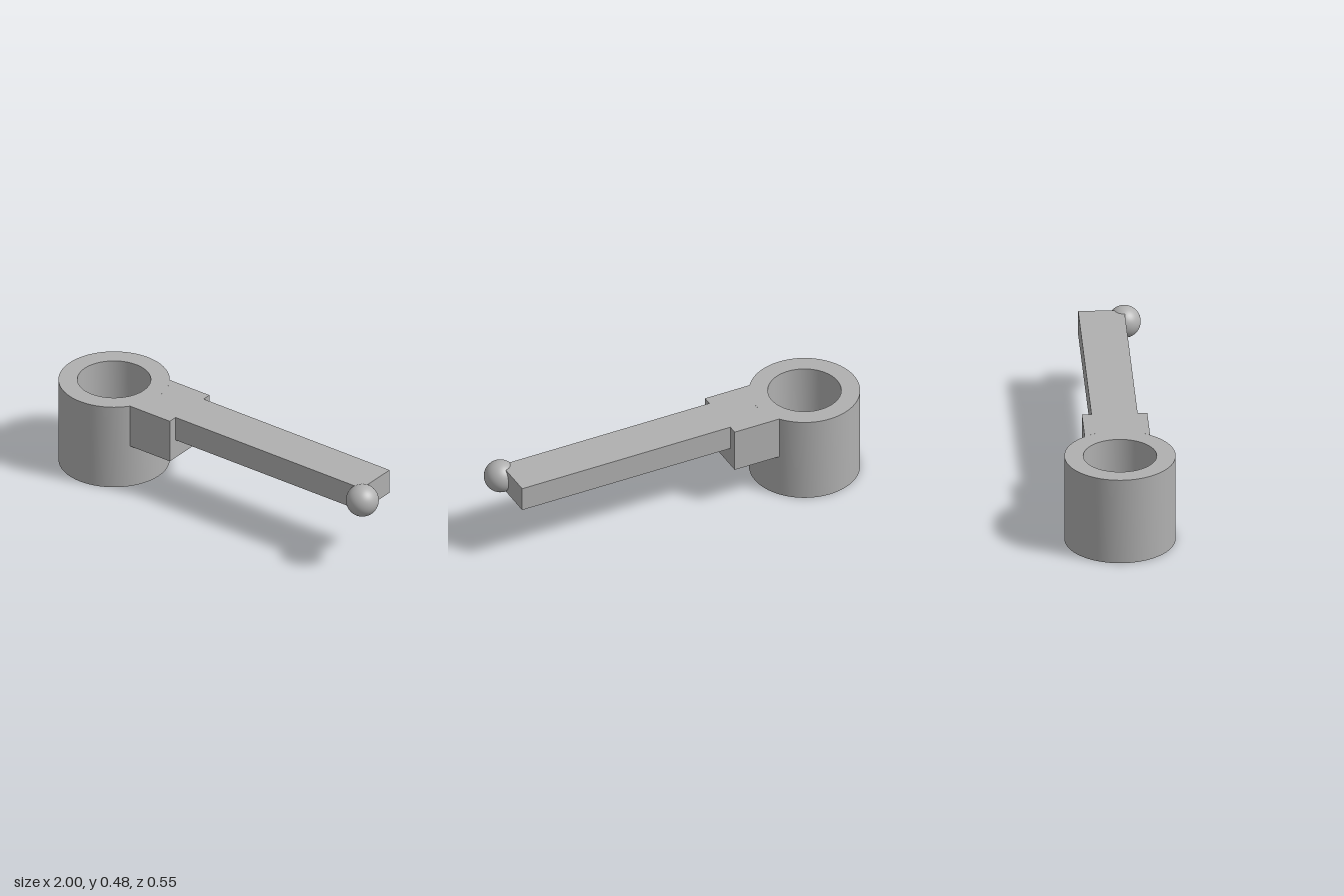
import * as THREE from 'three';
import { toCreasedNormals } from 'three/addons/utils/BufferGeometryUtils.js';

const HUB_X = -0.723, HUB_R = 0.277, BORE_R = 0.183, TOP = 0.46;

export function createModel() {
  const model = new THREE.Group();
  model.name = 'servoArm';
  const grey = new THREE.MeshStandardMaterial({ color: 0xb0b0b0 });
  grey.name = 'plain grey';

  const add = (name, geometry, x, y, z) => {
    const mesh = new THREE.Mesh(geometry, grey);
    mesh.name = name;
    mesh.position.set(x, y, z);
    model.add(mesh);
  };

  // Extrude a plan outline upwards, keeping curved walls smooth
  const slab = (shape, height) => {
    const g = new THREE.ExtrudeGeometry(shape, { depth: height, bevelEnabled: false, curveSegments: 32 });
    g.rotateX(-Math.PI / 2);
    return toCreasedNormals(g, 0.6);
  };

  // Hub: hollow cylinder with a slightly wider recess underneath
  const profile = [
    [HUB_R, 0], [HUB_R, TOP], [BORE_R, TOP], [BORE_R, 0.052],
    [0.191, 0.052], [0.191, 0], [HUB_R, 0],
  ].map(([r, y]) => new THREE.Vector2(r, y));
  add('hub', toCreasedNormals(new THREE.LatheGeometry(profile, 96), 0.6), HUB_X, 0, 0);

  // Hub floor: central hole and four screw holes
  const floor = new THREE.Shape().absarc(0, 0, BORE_R, 0, Math.PI * 2);
  const drill = (x, y, r) => floor.holes.push(new THREE.Path().absarc(x, y, r, 0, Math.PI * 2, true));
  drill(0, 0, 0.058);
  for (let i = 0; i < 4; i++) {
    const a = i * Math.PI / 2;
    drill(0.115 * Math.cos(a), 0.115 * Math.sin(a), 0.029);
  }
  add('hubFloor', slab(floor, 0.03), HUB_X, 0.052, 0);

  // Neck: block whose inner end follows the hub wall
  const halfNeck = 0.163, neckEnd = 0.473;
  const a = Math.asin(halfNeck / HUB_R);
  const neck = new THREE.Shape();
  neck.moveTo(neckEnd, -halfNeck);
  neck.lineTo(neckEnd, halfNeck);
  neck.lineTo(HUB_R * Math.cos(a), halfNeck);
  neck.absarc(0, 0, HUB_R, a, -a, true);
  neck.closePath();
  add('neck', slab(neck, 0.23), HUB_X, TOP - 0.23, 0);

  // Long straight arm
  const armStart = HUB_X + neckEnd, armEnd = 0.913, armHeight = 0.13;
  add('arm', new THREE.BoxGeometry(armEnd - armStart, armHeight, 0.23),
    (armStart + armEnd) / 2, TOP - armHeight / 2, 0);

  // Ball at the front corner of the arm tip
  add('ball', new THREE.SphereGeometry(0.082, 48, 32), 0.918, 0.395, 0.115);

  return model;
}
